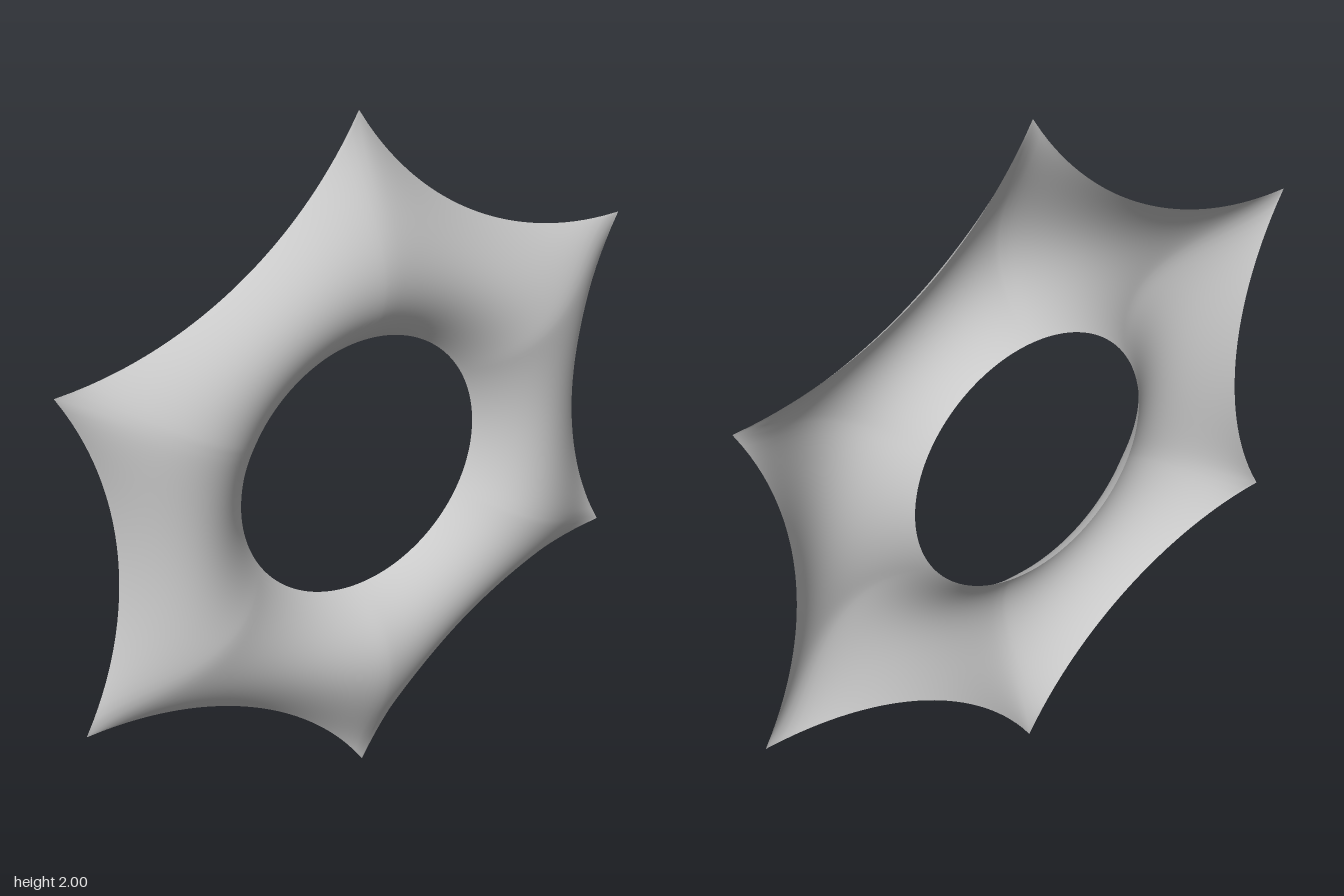
import * as THREE from 'three';
import { mergeVertices } from 'three/addons/utils/BufferGeometryUtils.js';

const HOLE = 0.375;           // radius of the round opening
const ARC = 1.02;             // radius of each concave edge
const ARC_CENTRE = 0.735 + ARC;
const DEPTH = 0.128;          // height of the crest above the flat rim

// Distance from the centre to the concave edge; phi is measured from a tip
function rimRadius(phi) {
  const sector = Math.PI / 3;
  const p = phi - Math.floor(phi / sector) * sector - sector / 2;
  const b = ARC_CENTRE * Math.cos(p);
  return b - Math.sqrt(b * b - ARC_CENTRE * ARC_CENTRE + ARC * ARC);
}

// Inflated membrane held down along the hole and the rim
function membrane(r, phi) {
  const wave = Math.cos(6 * phi) * (r ** 6 - HOLE ** 12 / r ** 6);
  return 0.1616 * Math.log(r / HOLE) - (r * r - HOLE * HOLE) / 4 + 0.0563 * wave;
}

export function createModel() {
  const group = new THREE.Group();
  group.name = 'starMembrane';

  // A flat ring whose vertices are moved to the star outline and inflated
  let geometry = new THREE.RingGeometry(1, 2, 240, 40);
  const pos = geometry.attributes.position;
  const crest = membrane(0.597, 0);
  for (let i = 0; i < pos.count; i++) {
    const x = pos.getX(i), y = pos.getY(i);
    const t = Math.hypot(x, y) - 1;
    const angle = Math.atan2(y, x);
    const phi = angle - Math.PI / 2;
    const rim = rimRadius(phi);
    const r = THREE.MathUtils.lerp(HOLE, rim, t);
    const height = membrane(r, phi) - t * membrane(rim, phi);
    pos.setXYZ(i, r * Math.cos(angle), 1 + r * Math.sin(angle), DEPTH * (height / crest - 0.5));
  }

  // Weld the seam so the shading stays smooth all round
  geometry.deleteAttribute('uv');
  geometry.deleteAttribute('normal');
  geometry = mergeVertices(geometry, 1e-5);
  geometry.computeVertexNormals();

  const sheet = new THREE.Mesh(
    geometry,
    new THREE.MeshStandardMaterial({ color: 0xcccccc, side: THREE.DoubleSide })
  );
  sheet.name = 'sheet';
  group.add(sheet);
  return group;
}
